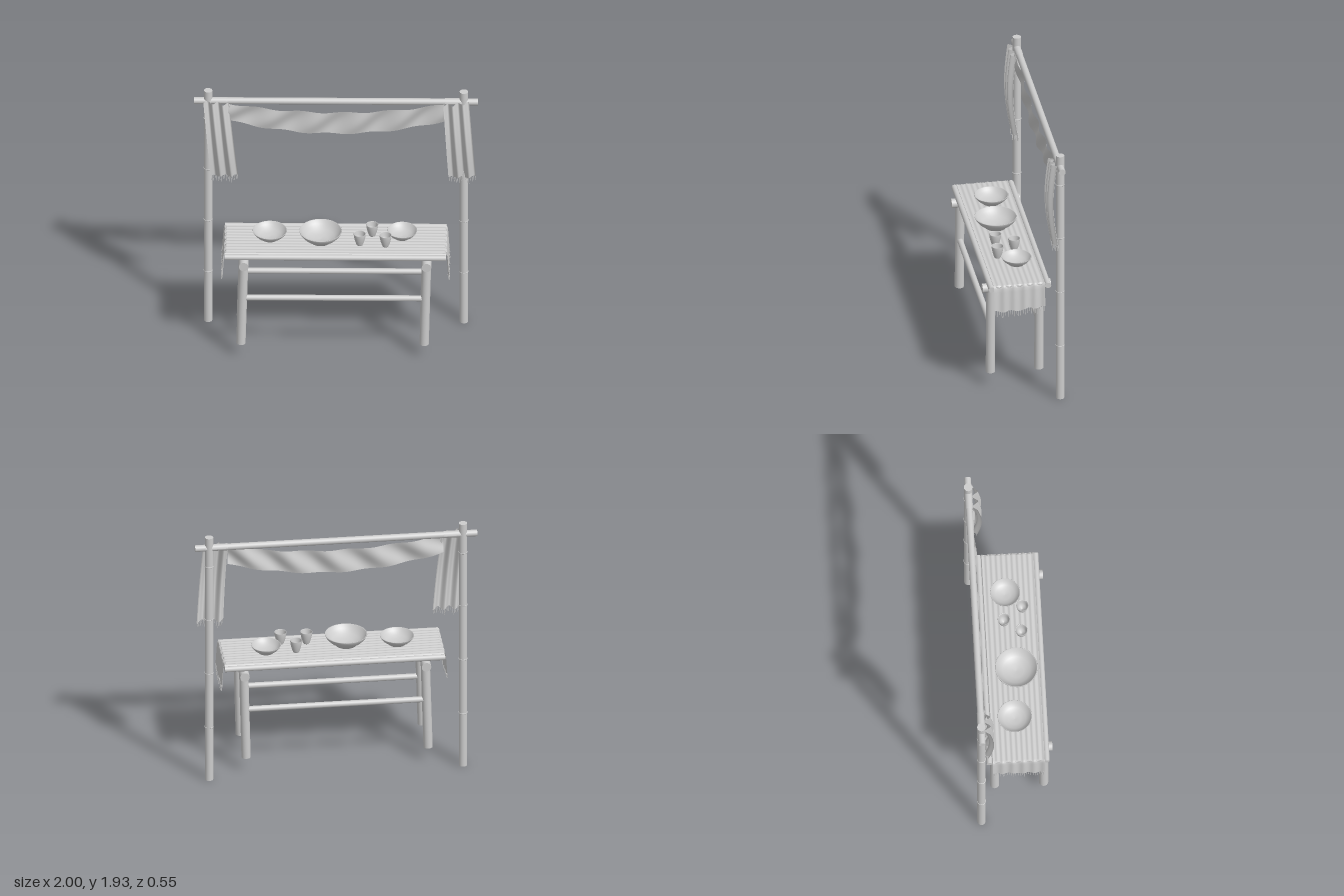
import * as THREE from 'three';

export function createModel() {
  const model = new THREE.Group();
  const clay = new THREE.MeshStandardMaterial({ color: 0xcccccc });
  clay.name = 'pale grey';
  const clothMat = new THREE.MeshStandardMaterial({ color: 0xcccccc, side: THREE.DoubleSide });
  clothMat.name = 'pale grey cloth';
  const V = (x, y, z) => new THREE.Vector3(x, y, z);

  function add(name, geo, mat = clay, parent = model) {
    const mesh = new THREE.Mesh(geo, mat);
    mesh.name = name;
    parent.add(mesh);
    return mesh;
  }
  // Round pole between two points
  function pole(name, a, b, r, parent = model, sides = 20) {
    const m = add(name, new THREE.CylinderGeometry(r, r, a.distanceTo(b), sides), clay, parent);
    m.position.copy(a).lerp(b, 0.5);
    m.quaternion.setFromUnitVectors(V(0, 1, 0), b.clone().sub(a).normalize());
    return m;
  }
  // Sheet from a rule f(u, v) giving a point
  function sheet(name, nu, nv, f) {
    const pos = [], idx = [];
    for (let j = 0; j <= nv; j++)
      for (let i = 0; i <= nu; i++) pos.push(...f(i / nu, j / nv).toArray());
    for (let j = 0; j < nv; j++)
      for (let i = 0; i < nu; i++) {
        const a = j * (nu + 1) + i, c = a + nu + 1;
        idx.push(a, c, a + 1, a + 1, c, c + 1);
      }
    const g = new THREE.BufferGeometry();
    g.setAttribute('position', new THREE.Float32BufferAttribute(pos, 3));
    g.setIndex(idx);
    g.computeVertexNormals();
    return add(name, g, clothMat);
  }
  // Row of hanging threads along an edge rule
  function fringe(name, count, edge, lean) {
    const group = new THREE.Group();
    group.name = name;
    for (let i = 0; i < count; i++) {
      const p = edge((i + 0.5) / count);
      const len = 0.036 + 0.01 * Math.sin(i * 2.3);
      pole('thread', p, V(p.x + lean, p.y - len, p.z + 0.003 * Math.sin(i * 1.7)), 0.0024, group, 5);
    }
    model.add(group);
  }

  // Bamboo uprights with node rings, and the top rail
  for (const x of [-0.9, 0.9]) {
    pole('upright', V(x, 0, -0.238), V(x, 1.93, -0.238), 0.03);
    for (const y of [0.42, 0.85, 1.28, 1.7]) {
      const ring = add('uprightNode', new THREE.TorusGeometry(0.029, 0.004, 6, 24));
      ring.rotation.x = Math.PI / 2;
      ring.position.set(x, y, -0.238);
    }
  }
  pole('topRail', V(-1, 1.845, -0.237), V(1, 1.845, -0.237), 0.024);

  // Trestles: cross beams, legs and stretchers
  const legZ = [0.213, -0.133];
  for (const [top, foot] of [[-0.645, -0.665], [0.642, 0.625]]) {
    pole('crossBeam', V(top, 0.78, 0.275), V(top, 0.78, -0.212), 0.034);
    for (const z of legZ) pole('leg', V(foot, 0.105, z), V(top, 0.79, z), 0.033);
  }
  for (const z of legZ) pole('stretcher', V(-0.65, 0.485, z), V(0.635, 0.485, z), 0.021);

  // Tabletop of parallel poles
  for (let i = 0; i < 12; i++) {
    const z = 0.229 - i * 0.0367;
    pole('tablePole', V(-0.78, 0.834, z), V(0.78, 0.834, z), 0.021, model, 16);
  }

  // Table runner draped over both ends
  const runZ = v => 0.215 - v * 0.365;
  const hem = v => 0.67 + 0.007 * Math.cos(v * 19) - 0.008 * Math.sin(v * 5);
  const runner = [[0.796, 0], [0.792, 0.35], [0.787, 0.75], [0.784, 0.9], [0.778, 0.98], [0.765, 1], [0.4, 1]];
  const half = runner.length;
  sheet('tableRunner', 72, half * 2 - 1, (u, v) => {
    const k = Math.round(v * (half * 2 - 1));
    const [x, h] = runner[k < half ? k : half * 2 - 1 - k];
    const top = 0.859 + 0.003 * Math.cos(u * 62), low = hem(u);
    const puff = x > 0.77 ? 0.004 * Math.cos(u * 31) : 0;
    return V((k < half ? -1 : 1) * (x + puff), low + (top - low) * h, runZ(u));
  });
  for (const s of [-1, 1])
    fringe('runnerFringe', 24, t => V(s * (0.796 + 0.004 * Math.cos(t * 31)), hem(t) + 0.002, runZ(t)), s * 0.005);

  // Sagging valance with slanting ripples
  sheet('valance', 96, 14, (u, v) => {
    const x = -0.765 + 1.53 * u, q = (x / 0.765) ** 2;
    const top = 1.76 + 0.075 * q, bottom = 1.585 + 0.11 * q;
    const ripple = Math.cos((x - 0.153 + (v - 0.5) * 0.12) * Math.PI * 2 / 0.307);
    return V(x, top + (bottom - top) * v, -0.218 + 0.021 * ripple * (0.5 + 0.5 * Math.sin(v * Math.PI)));
  });

  // Pleated side drapes, bulging forward between rail and hem
  for (const [x0, shift] of [[-0.933, 0.052], [0.757, 0.035]]) {
    const drape = (u, v) => V(
      x0 + shift * v + u * (0.18 + 0.013 * v),
      1.862 - (x0 < 0 ? u : 1 - u) * 0.022 * (1 - v) - v * 0.622 + 0.008 * v * Math.cos(u * 15),
      -0.192 + 0.03 * Math.sin(v * Math.PI) - 0.004 * v + 0.019 * Math.cos(u * Math.PI * 5 + 0.6)
    );
    sheet('sideDrape', 50, 24, drape);
    // Part of the drape folded over the rail
    sheet('drapeFold', 12, 8, (u, v) => {
      const a = v * Math.PI;
      return V(x0 + 0.01 + u * 0.16, 1.845 + 0.026 * Math.sin(a), -0.237 + 0.027 * Math.cos(a));
    });
    fringe('drapeFringe', 17, t => drape(t, 1), 0.003);
  }

  // Bowls: wide lathe forms with an inner hollow
  const lathe = (pts) => new THREE.LatheGeometry(pts.map(p => new THREE.Vector2(...p)), 40);
  for (const [x, z, r, h] of [[-0.463, 0.02, 0.121, 0.066], [-0.105, 0.05, 0.15, 0.085], [0.468, 0, 0.106, 0.06]]) {
    add('bowl', lathe([[0, 0], [r * 0.5, 0], [r * 0.53, h * 0.1], [r * 0.78, h * 0.42], [r * 0.93, h * 0.72],
      [r, h * 0.96], [r * 0.985, h], [r * 0.95, h * 0.97], [r * 0.86, h * 0.68], [r * 0.65, h * 0.36],
      [r * 0.35, h * 0.18], [0, h * 0.14]])).position.set(x, 0.861, z);
  }

  // Small tapered cups
  for (const [x, z] of [[0.17, 0.1], [0.257, -0.02], [0.352, 0.115]]) {
    add('cup', lathe([[0, 0], [0.021, 0], [0.024, 0.006], [0.034, 0.036], [0.04, 0.066], [0.043, 0.09],
      [0.041, 0.092], [0.038, 0.088], [0.034, 0.06], [0.025, 0.028], [0, 0.016]])).position.set(x, 0.861, z);
  }

  return model;
}
